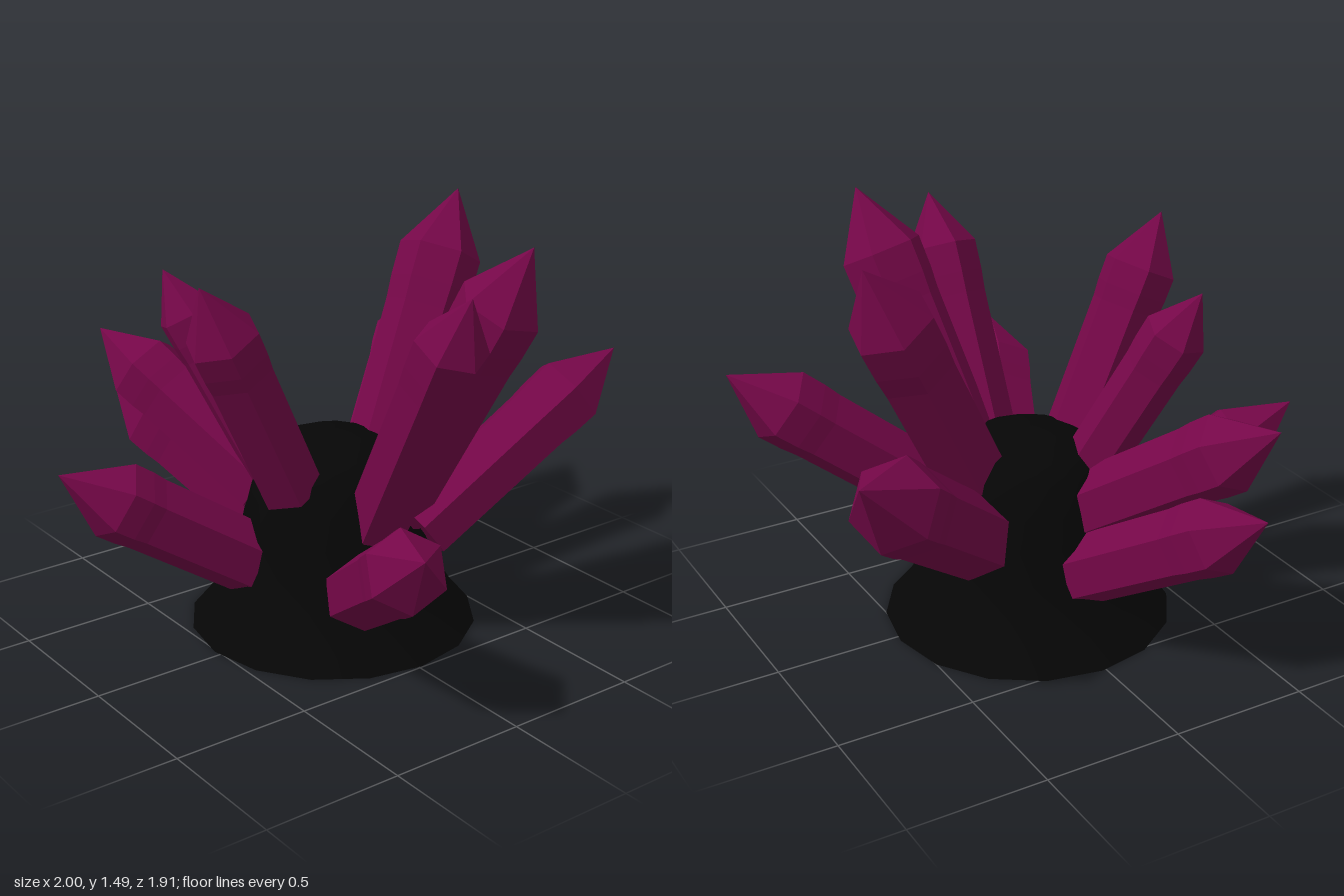
import * as THREE from 'three';

const V = (x, y) => new THREE.Vector2(x, y);

// base point, tip point, radius of each crystal
const CRYSTALS = [
  // low outer ring
  [[-0.3, 0.257, 0.03], [-1.0, 0.705, 0.32], 0.138],
  [[0.29, 0.235, 0.11], [0.995, 0.705, 0.4], 0.142],
  [[-0.11, 0.265, 0.28], [-0.285, 0.705, 0.955], 0.145],
  // middle ring
  [[-0.25, 0.48, 0.12], [-0.91, 0.965, 0.42], 0.143],
  [[-0.13, 0.39, -0.27], [-0.6, 0.965, -0.93], 0.163],
  [[0.235, 0.385, -0.21], [0.415, 0.965, -0.96], 0.143],
  // tall crystals
  [[-0.15, 0.53, 0.13], [-0.46, 1.295, 0.41], 0.112],
  [[0.03, 0.58, 0.21], [0.083, 1.39, 0.605], 0.133],
  [[0.22, 0.44, -0.02], [0.7, 1.39, -0.02], 0.13],
  [[0.15, 0.46, -0.13], [0.62, 1.485, -0.35], 0.152],
  [[0.015, 0.4, -0.14], [-0.16, 1.485, -0.69], 0.152],
];

// Six-sided shaft, slightly narrower at the root, with a pointed end
function makeCrystal([from, to, r], material) {
  const base = new THREE.Vector3(...from);
  const axis = new THREE.Vector3(...to).sub(base);
  const length = axis.length();
  const shoulder = length - 1.6 * r;
  axis.normalize();
  const geometry = new THREE.LatheGeometry([
    V(0, 0),
    V(0.92 * r, 0),
    V(0.95 * r, shoulder * 0.78),
    V(0.99 * r, shoulder * 0.87),
    V(r, shoulder),
    V(0, length),
  ], 6);
  const mesh = new THREE.Mesh(geometry, material);
  // one edge of the shaft points upward
  const up = new THREE.Vector3(0, 1, 0).addScaledVector(axis, -axis.y).normalize();
  const side = new THREE.Vector3().crossVectors(axis, up);
  mesh.quaternion.setFromRotationMatrix(new THREE.Matrix4().makeBasis(side, axis, up));
  mesh.position.copy(base);
  mesh.name = 'crystal';
  return mesh;
}

export function createModel() {
  const model = new THREE.Group();
  model.name = 'crystalCluster';

  // Flared dark rock with a domed top
  const rockMaterial = new THREE.MeshStandardMaterial({ color: 0x060606 });
  const rock = new THREE.Mesh(new THREE.LatheGeometry([
    V(0.525, 0), V(0.45, 0.09), V(0.395, 0.18), V(0.355, 0.27), V(0.33, 0.39),
    V(0.305, 0.5), V(0.275, 0.61), V(0.22, 0.675), V(0.12, 0.715), V(0, 0.73),
  ], 16), rockMaterial);
  rock.name = 'rock';

  // Flat underside of the rock
  const underside = new THREE.Mesh(new THREE.CircleGeometry(0.525, 16), rockMaterial);
  underside.rotation.x = Math.PI / 2;
  underside.name = 'rockUnderside';

  const rockGroup = new THREE.Group();
  rockGroup.name = 'rockBase';
  rockGroup.add(rock, underside);
  rockGroup.position.set(-0.03, 0, -0.015);
  model.add(rockGroup);

  // Crystals
  const crystalMaterial = new THREE.MeshStandardMaterial({ color: 0x750748, flatShading: true });
  const crystals = new THREE.Group();
  crystals.name = 'crystals';
  for (const spec of CRYSTALS) crystals.add(makeCrystal(spec, crystalMaterial));
  model.add(crystals);

  return model;
}
